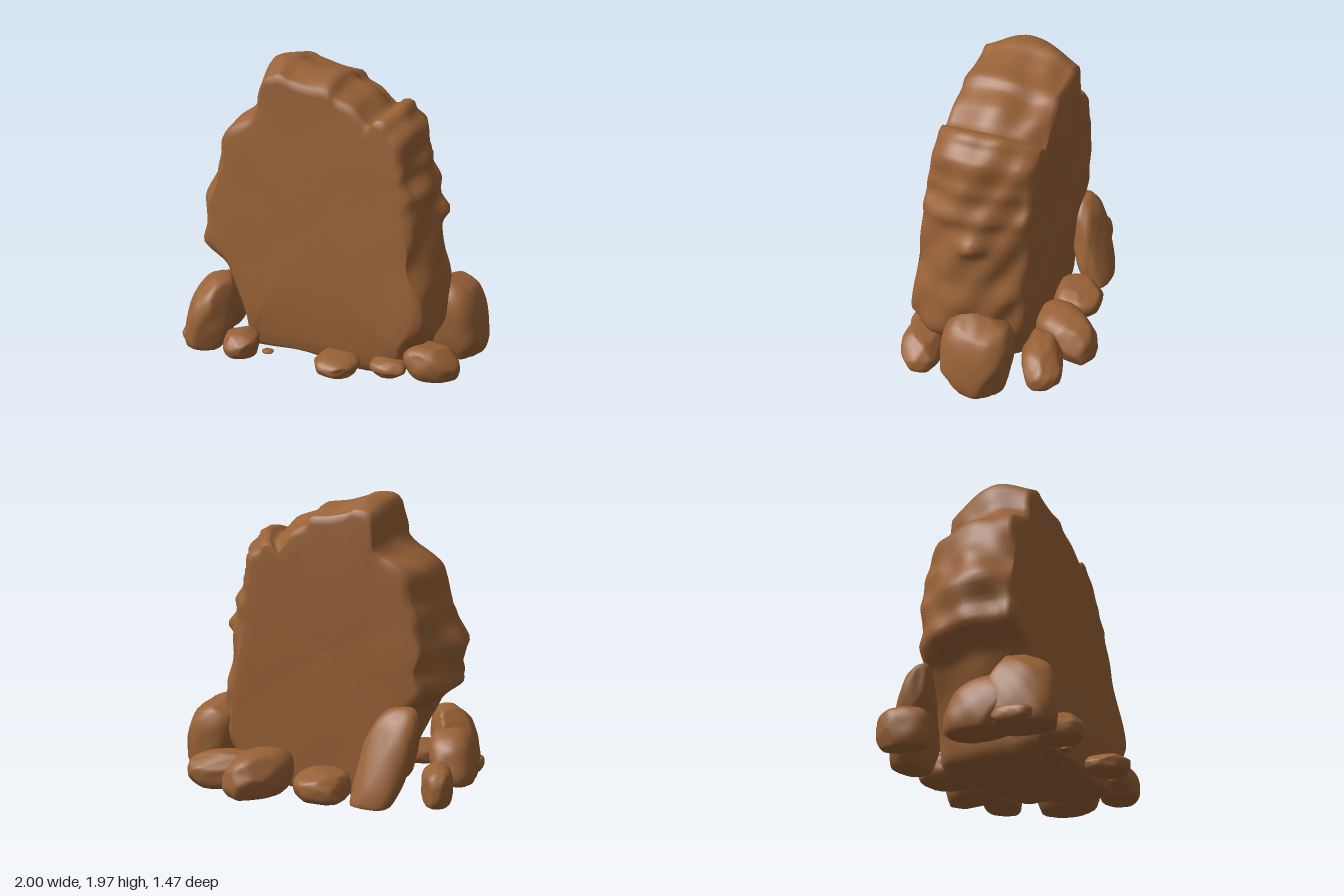
import * as THREE from 'three';
import { mergeVertices } from 'three/addons/utils/BufferGeometryUtils.js';

const rock = new THREE.MeshStandardMaterial({ color: 0x996237 });
rock.name = 'brown rock';

// Smooth lumps, roughly -1..1
const lumps = (x, y, z) =>
  0.5 * Math.sin(7 * x + 6 * z + 1) * Math.cos(8 * y - 7 * z) +
  0.3 * Math.sin(15 * y + 9 * z) * Math.cos(13 * z - 6 * x) +
  0.2 * Math.sin(23 * z + 17 * y + 11 * x);

function seeded(seed) {
  let s = seed * 7919 + 13;
  return () => (s = (s * 16807) % 2147483647) / 2147483647;
}

// Standing slab: one outline repeated in rings from the front face to the back face
function slabGeometry() {
  const outline = [
    [-0.52, 0.01], [-0.58, 0.2], [-0.63, 0.35], [-0.7, 0.5], [-0.75, 0.6], [-0.9, 0.72],
    [-0.88, 0.85], [-0.92, 1.0], [-0.86, 1.15], [-0.84, 1.22], [-0.79, 1.33], [-0.765, 1.46], [-0.72, 1.53],
    [-0.57, 1.64], [-0.51, 1.73], [-0.5, 1.83], [-0.46, 1.94], [-0.34, 1.975], [-0.26, 1.94], [-0.12, 1.91],
    [0.03, 1.905], [0.08, 1.85], [0.22, 1.8], [0.34, 1.69], [0.4, 1.74], [0.47, 1.735], [0.5, 1.68], [0.58, 1.61],
    [0.6, 1.48], [0.63, 1.42], [0.63, 1.34], [0.68, 1.24], [0.66, 1.13], [0.72, 0.88],
    [0.74, 0.75], [0.79, 0.6], [0.785, 0.36], [0.7, 0.2], [0.62, 0.01], [0.3, 0], [-0.2, 0],
  ].map(([x, y]) => new THREE.Vector3(x, y, 0));
  const n = 180, steps = 22, cx = -0.07, cy = 0.95;
  const pts = new THREE.CatmullRomCurve3(outline, true, 'catmullrom', 0.35).getSpacedPoints(n);

  // [depth 0 front..1 back, face scale]
  const rings = [0, 0.3, 0.6, 0.85, 0.96].map((s) => [0, s]);
  for (let k = 0; k <= steps; k++) rings.push([0.01 + 0.98 * k / steps, 1]);
  [0.96, 0.85, 0.6, 0.3, 0].forEach((s) => rings.push([1, s]));

  const pos = [], index = [];
  rings.forEach(([u, face], r) => {
    // The slab is widest a little in front of its middle and tapers to the back
    const fore = Math.max(0, (0.4 - u) / 0.4) ** 1.7;
    const aft = Math.max(0, (u - 0.4) / 0.6) ** 1.5;
    const rough = 0.02 + 0.035 * Math.max(fore, aft);
    for (let i = 0; i < n; i++) {
      const dx = pts[i].x - cx, dy = pts[i].y - cy;
      const insetX = fore * (dx > 0 ? 0.15 : 0.1) + aft * 0.23;
      const insetY = dy > 0 ? fore * 0.09 + aft * 0.11 : fore * 0.025 + aft * 0.03;
      let x = cx + dx * face * (1 - insetX);
      let y = cy + dy * face * (1 - insetY);
      const front = Math.max(0.36, 0.53 - 0.098 * y) - 0.25 * Math.max(0, 0.25 - y);
      let z = THREE.MathUtils.lerp(front, -0.285, u);
      const l = lumps(x, y, z);
      if (face === 1) {
        const k = rough * l / Math.hypot(dx, dy);
        x += dx * k;
        y += dy * k;
        // Small ledge sticking out of the left side
        if (dx > 0) x += 0.08 * Math.exp(-(((y - 1.05) / 0.07) ** 2) - ((z - 0.02) / 0.09) ** 2);
      } else z += 0.006 * l * (1 - face * 0.5);
      pos.push(x, THREE.MathUtils.clamp(y, 0, 1.97), z);
      if (r < rings.length - 1) {
        const a = r * n + i, b = r * n + (i + 1) % n;
        index.push(a, b, a + n, b, b + n, a + n);
      }
    }
  });
  const g = new THREE.BufferGeometry();
  g.setAttribute('position', new THREE.Float32BufferAttribute(pos, 3));
  g.setIndex(index);
  g.computeVertexNormals();
  return g;
}

// Boulder: a boxy ball, chipped by random planes, then sized and leaned
function boulderGeometry(sx, sy, sz, seed, leanX, leanZ) {
  let g = new THREE.IcosahedronGeometry(1, 9);
  g.deleteAttribute('normal');
  g.deleteAttribute('uv');
  g = mergeVertices(g, 1e-4);
  const rnd = seeded(seed), v = new THREE.Vector3(), p = g.attributes.position;
  const cuts = Array.from({ length: 9 }, () => ({
    d: new THREE.Vector3(rnd() * 2 - 1, rnd() * 1.6 - 0.6, rnd() * 2 - 1).normalize(),
    c: 0.88 + 0.16 * rnd(),
  }));
  for (let i = 0; i < p.count; i++) {
    v.fromBufferAttribute(p, i);
    v.multiplyScalar((Math.abs(v.x) ** 2.7 + Math.abs(v.y) ** 2.7 + Math.abs(v.z) ** 2.7) ** (-1 / 2.7));
    for (const { d, c } of cuts) {
      const over = v.dot(d) - c;
      if (over > 0) v.addScaledVector(d, -0.8 * over);
    }
    v.multiplyScalar(1 + 0.03 * lumps(v.x * 0.5 + seed, v.y * 0.5, v.z * 0.5));
    if (v.y < -0.75) v.y = -0.75 + (v.y + 0.75) * 0.2;
    v.y = (v.y + 0.8) / 0.9 - 1;
    p.setXYZ(i, v.x * sx + leanX * v.y, v.y * sy, v.z * sz + leanZ * v.y);
  }
  g.computeVertexNormals();
  return g;
}

// name, centre, half sizes, turn about y, lean x, lean z
const boulders = [
  ['frontRightBoulder', [-0.78, 0.25, 0.48], [0.165, 0.24, 0.22], 0.2, 0.05, -0.04],
  ['frontRightLowBoulder', [-0.82, 0.19, 0.3], [0.16, 0.18, 0.25], 0.05, 0.03, 0.04],
  ['frontRightChip', [-0.92, 0.07, 0.5], [0.07, 0.05, 0.13], 0, 0, 0],
  ['frontSmallStone', [-0.52, 0.1, 0.59], [0.12, 0.08, 0.14], 0.3, 0, 0],
  ['pebble', [-0.35, 0.035, 0.54], [0.04, 0.012, 0.03], 0, 0, 0],
  ['frontMiddleStone', [0.16, 0.08, 0.57], [0.15, 0.055, 0.14], -0.2, 0, 0],
  ['frontLeftStone', [0.5, 0.09, 0.5], [0.12, 0.055, 0.09], 0, 0, 0],
  ['frontLeftBoulder', [0.755, 0.135, 0.39], [0.175, 0.11, 0.14], 0.3, -0.03, 0],
  ['leftTallBoulder', [0.79, 0.29, -0.04], [0.19, 0.27, 0.24], 0, -0.055, 0],
  ['backLeftBoulder', [0.58, 0.15, -0.42], [0.24, 0.12, 0.14], 0.35, 0, 0],
  ['backMiddleLeftBoulder', [0.3, 0.175, -0.49], [0.17, 0.145, 0.24], -0.5, 0, 0.03],
  ['backMiddleStone', [-0.12, 0.12, -0.43], [0.18, 0.1, 0.17], 0, 0, 0],
  ['backRightLeaningBoulder', [-0.53, 0.33, -0.38], [0.17, 0.31, 0.12], -0.1, -0.07, 0.11],
  ['backRightStone', [-0.84, 0.15, -0.27], [0.1, 0.13, 0.17], 0.3, 0, 0],
];

export function createModel() {
  const model = new THREE.Group();
  model.name = 'standingRock';
  const add = (name, geometry) => {
    const mesh = new THREE.Mesh(geometry, rock);
    mesh.name = name;
    model.add(mesh);
    return mesh;
  };
  add('slab', slabGeometry());

  // Boulders around the foot
  boulders.forEach(([name, at, half, turn, leanX, leanZ], i) => {
    const mesh = add(name, boulderGeometry(...half, i + 5, leanX, leanZ));
    mesh.position.set(...at);
    mesh.rotation.y = turn;
  });
  return model;
}
